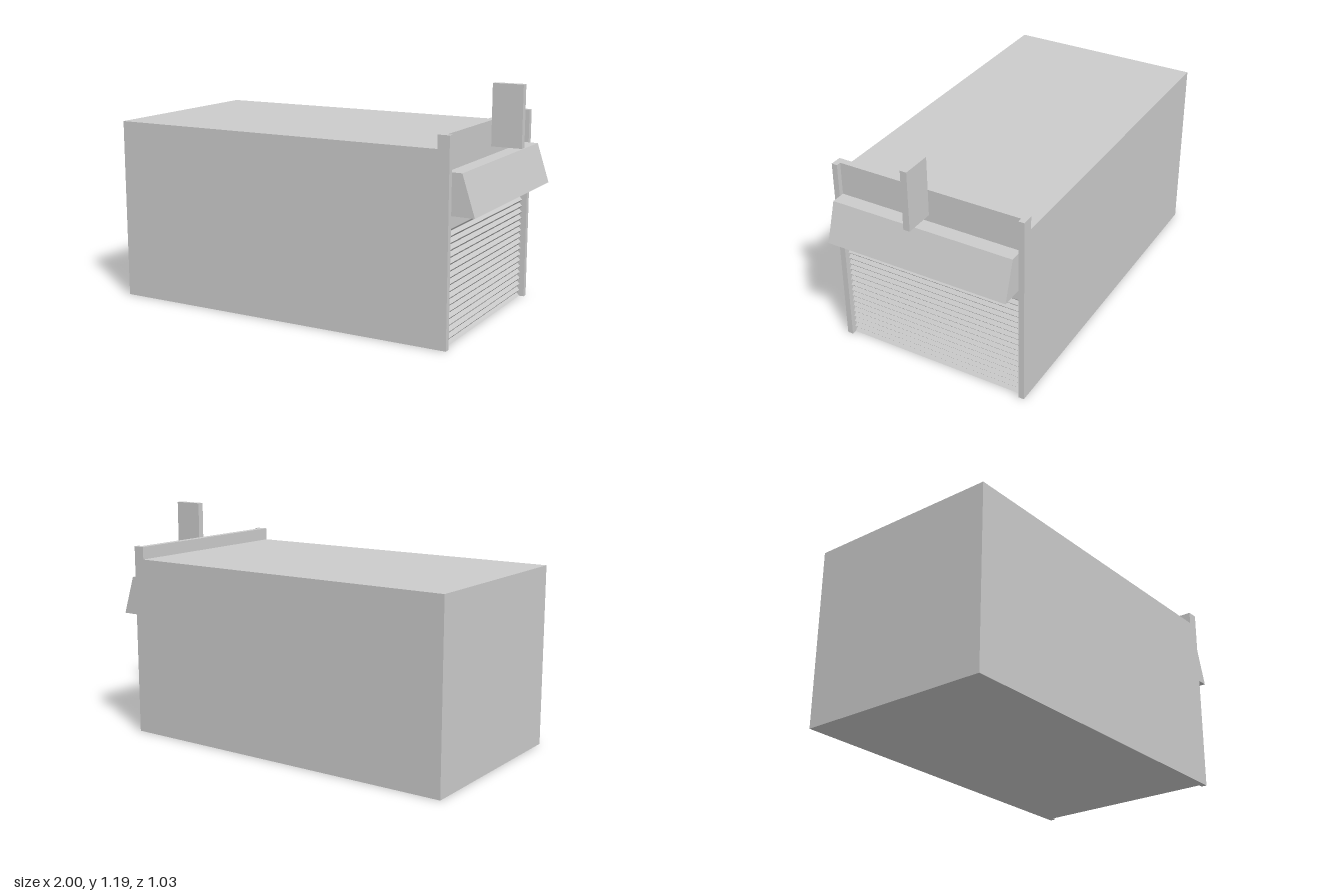
import * as THREE from 'three';

const mat = new THREE.MeshStandardMaterial({ color: 0xcccccc, flatShading: true });

export function createModel() {
  const model = new THREE.Group();
  model.name = 'shopUnit';

  const add = (name, geometry) => {
    const mesh = new THREE.Mesh(geometry, mat);
    mesh.name = name;
    model.add(mesh);
    return mesh;
  };

  // Box given by its lower and upper corners
  const box = (name, [x0, y0, z0], [x1, y1, z1]) =>
    add(name, new THREE.BoxGeometry(x1 - x0, y1 - y0, z1 - z0))
      .position.set((x0 + x1) / 2, (y0 + y1) / 2, (z0 + z1) / 2);

  // Profile in x/y, extruded along z and centred
  const extrude = (name, points, width) => {
    const shape = new THREE.Shape(points.map(([x, y]) => new THREE.Vector2(x, y)));
    const geometry = new THREE.ExtrudeGeometry(shape, { depth: width, bevelEnabled: false });
    add(name, geometry.translate(0, 0, -width / 2));
  };

  const half = 0.515, inner = 0.485; // outer and inner half widths
  const back = 0.79, wall = 0.825;   // back and face of the shop front

  // Main building block
  box('building', [-1, 0, -half], [back, 0.935, half]);

  // Side pillars framing the shop front
  box('leftPillar', [back, 0, inner], [0.85, 1, half]);
  box('rightPillar', [back, 0, -half], [0.85, 1, -inner]);

  // Shop front wall with parapet above and a ribbed roller shutter below
  const slats = 17, pitch = 0.556 / slats, depth = 0.015;
  const front = [[back, 0], [wall, 0]];
  for (let i = 0; i < slats; i++) {
    front.push([wall - depth, (i + 0.52) * pitch], [wall, (i + 1) * pitch]);
  }
  front.push([wall, 1], [back, 1]);
  extrude('shutterWall', front, inner * 2);

  // Sloping awning over the shutter
  extrude('awning', [[wall, 0.63], [0.965, 0.63], [0.9, 0.83], [wall, 0.83]], inner * 2);

  // Projecting sign board
  box('signBoard', [0.845, 0.88, -0.017], [1, 1.185, 0.017]);

  return model;
}
